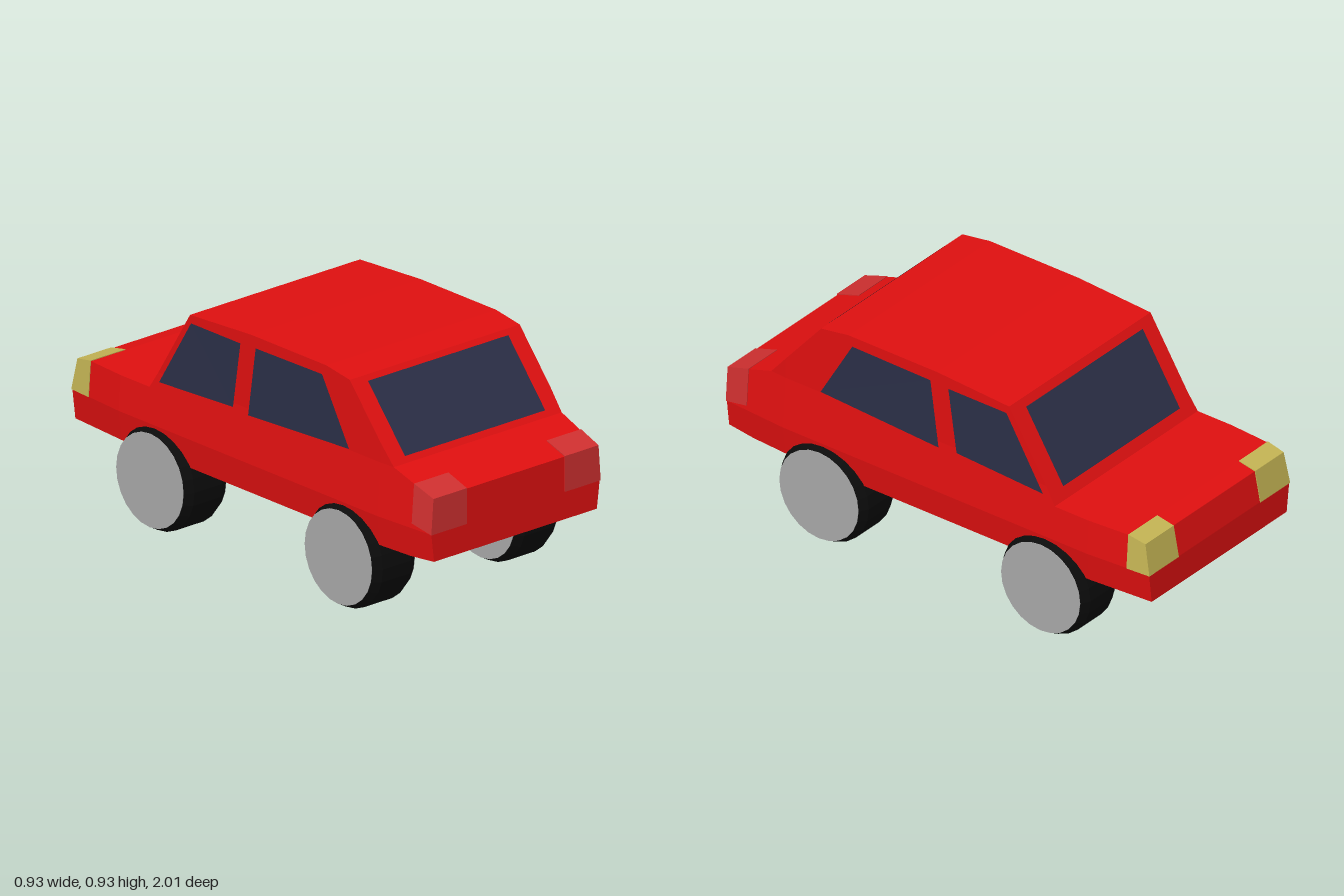
import * as THREE from 'three';
import { ConvexGeometry } from 'three/addons/geometries/ConvexGeometry.js';

const paint = (color, side = THREE.FrontSide) =>
  new THREE.MeshStandardMaterial({ color, side, flatShading: true });

// Half width of the bodywork: widest at the waist, tapering to both ends
function halfWidth(y, z) {
  const { lerp, clamp } = THREE.MathUtils;
  const w = y < 0.42
    ? lerp(0.425, 0.44, (y - 0.3) / 0.12)
    : lerp(0.44, 0.424, clamp((y - 0.42) / 0.21, 0, 1));
  return w - 0.02 * Math.max(0, (Math.abs(z) - 0.72) / 0.28);
}

function flatGeometry(positions, index) {
  const geo = new THREE.BufferGeometry();
  geo.setAttribute('position', new THREE.Float32BufferAttribute(positions, 3));
  geo.setIndex(index);
  const flat = geo.toNonIndexed();
  flat.computeVertexNormals();
  return flat;
}

// Cross-sections from front to back: [z, bottom y, top y]
function bodyGeometry() {
  const stations = [
    [1, 0.31, 0.56], [0.88, 0.3, 0.6], [0.79, 0.3, 0.63], [0.72, 0.3, 0.712],
    [0.55, 0.3, 0.91], [0.42, 0.3, 0.93], [0, 0.3, 0.93], [-0.34, 0.3, 0.91],
    [-0.516, 0.3, 0.63], [-0.56, 0.3, 0.56], [-0.72, 0.3, 0.56],
    [-0.9, 0.3, 0.56], [-0.975, 0.3, 0.545], [-1, 0.3, 0.42],
  ];
  const pos = [], index = [], n = 8;
  for (const [z, bottom, top] of stations) {
    const ys = [bottom, 0.42, Math.min(0.63, top), top];
    for (const y of ys) pos.push(halfWidth(y, z), y, z);
    for (const y of ys.reverse()) pos.push(-halfWidth(y, z), y, z);
  }
  const last = (stations.length - 1) * n;
  for (let i = 0; i < last; i += n) {
    for (let j = 0; j < n; j++) {
      const a = i + j, b = i + (j + 1) % n;
      index.push(a, a + n, b, b, a + n, b + n);
    }
  }
  for (let j = 1; j < n - 1; j++) {
    index.push(0, j, j + 1, last, last + j + 1, last + j);
  }
  return flatGeometry(pos, index);
}

// Four-cornered pane of glass
const paneGeometry = (corners) => flatGeometry(corners.flat(), [0, 1, 2, 0, 2, 3]);

// Lamp wrapping a body corner, from a [z, y] side outline
function lampGeometry(outline, side) {
  const points = outline.flatMap(([z, y]) => [
    new THREE.Vector3(side * 0.245, y, z),
    new THREE.Vector3(side * (halfWidth(y, z) + 0.003), y, z),
  ]);
  return new ConvexGeometry(points);
}

export function createModel() {
  const car = new THREE.Group();
  car.name = 'car';
  const red = paint(0xe01010);
  const glass = paint(0x2b2f47, THREE.DoubleSide);
  const rubber = paint(0x0b0b0b);
  const hub = paint(0xa8a8a8);
  const frontLens = paint(0xd03030);
  const rearLens = paint(0xc4b454);

  const add = (name, geo, mat, parent = car) => {
    const mesh = new THREE.Mesh(geo, mat);
    mesh.name = name;
    parent.add(mesh);
    return mesh;
  };

  add('body', bodyGeometry(), red);

  // Windscreen and rear window, lying just proud of the sloping body
  const screen = (y0, z0, y1, z1) => paneGeometry([
    [-0.35, y0, z0], [0.35, y0, z0], [0.35, y1, z1], [-0.35, y1, z1],
  ]);
  add('windscreen', screen(0.652, 0.775, 0.892, 0.569), glass);
  add('rearWindow', screen(0.602, -0.538, 0.882, -0.362), glass);

  // Side window, headlamp and tail lamp outlines as [z, y]
  const frontWindow = [[0.55, 0.635], [-0.01, 0.607], [0.03, 0.885], [0.4, 0.89]];
  const backWindow = [[-0.095, 0.615], [-0.505, 0.595], [-0.33, 0.88], [-0.055, 0.88]];
  const headlamp = [[0.9, 0.44], [1.003, 0.42], [1.003, 0.563], [0.9, 0.596]];
  const tailLamp = [[-0.9, 0.42], [-1.003, 0.42], [-0.978, 0.548], [-0.9, 0.563]];

  // Wheel profile: chamfered tyre as [radius, offset from wheel centre]
  const tyre = new THREE.LatheGeometry(
    [[0, -0.106], [0.187, -0.106], [0.207, -0.07], [0.207, 0.07], [0.187, 0.106], [0, 0.106]]
      .map(([r, h]) => new THREE.Vector2(r, h)), 24);
  const cap = new THREE.CylinderGeometry(0.187, 0.187, 0.216, 24);

  for (const side of [1, -1]) {
    const label = side > 0 ? 'left' : 'right';
    const sidePane = (outline) => paneGeometry(
      outline.map(([z, y]) => [side * (halfWidth(y, z) + 0.004), y, z]));
    add(label + 'FrontSideWindow', sidePane(frontWindow), glass);
    add(label + 'RearSideWindow', sidePane(backWindow), glass);
    add(label + 'Headlamp', lampGeometry(headlamp, side), frontLens);
    add(label + 'TailLamp', lampGeometry(tailLamp, side), rearLens);

    for (const [end, z] of [['Front', 0.53], ['Rear', -0.52]]) {
      const wheel = new THREE.Group();
      wheel.name = label + end + 'Wheel';
      wheel.position.set(side * 0.356, 0.207, z);
      wheel.rotation.z = Math.PI / 2;
      add('tyre', tyre, rubber, wheel);
      add('hubDiscs', cap, hub, wheel);
      car.add(wheel);
    }
  }
  return car;
}
